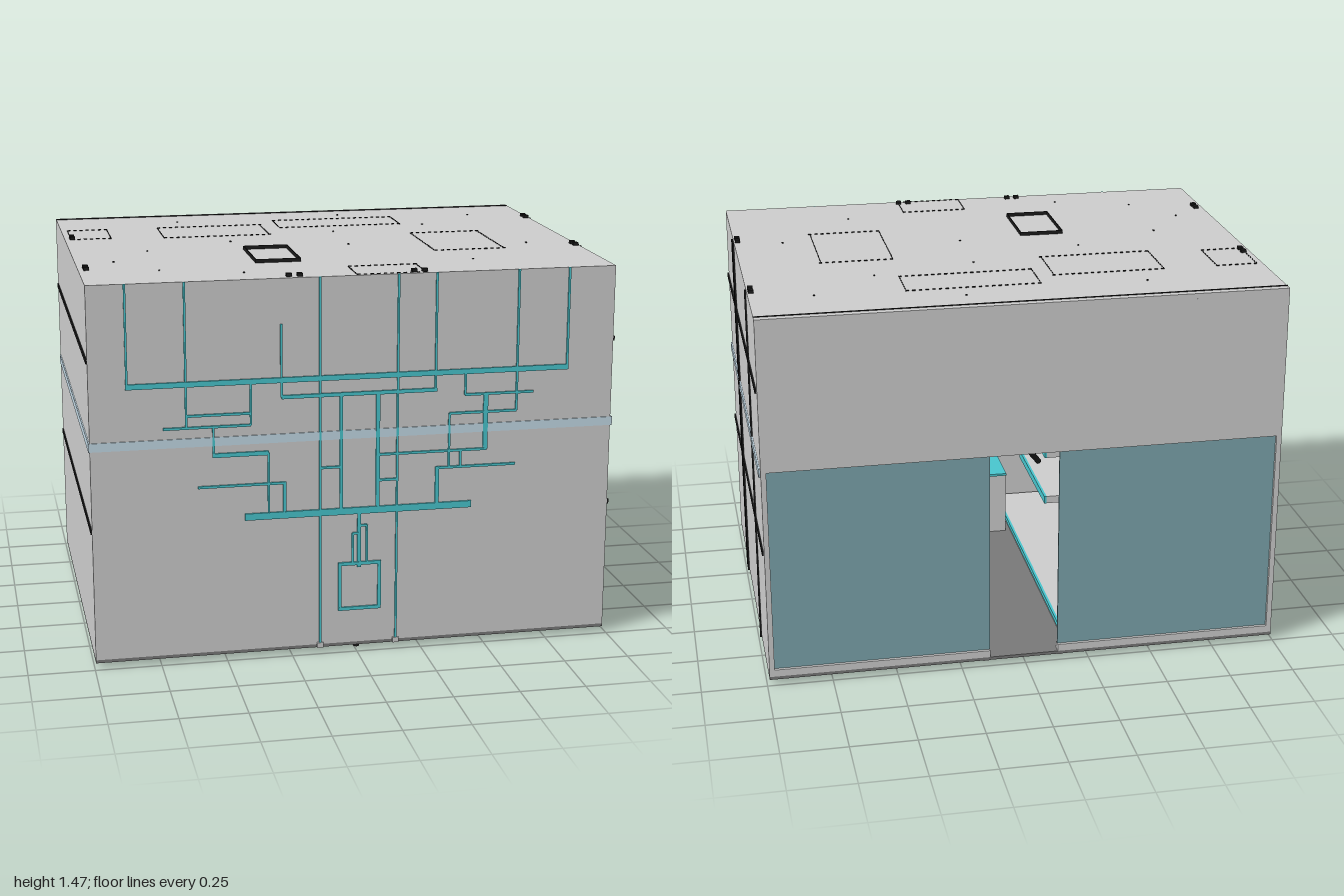
import * as THREE from 'three';
import { mergeGeometries } from 'three/addons/utils/BufferGeometryUtils.js';

const mat = (color) => new THREE.MeshStandardMaterial({ color });
const GREY = mat(0xcccccc), DARK = mat(0x1a1a1a), TEAL = mat(0x48c4cc), GLASS = mat(0x7ba4ac),
  PALE = mat(0xc2d8e4), FLOOR = mat(0x777777);
const X0 = -0.995, X1 = 0.99, Y0 = 0.02, Y1 = 1.46, Z0 = -0.74, Z1 = 0.73;

// box between two corners
function span(x0, x1, y0, y1, z0, z1) {
  return new THREE.BoxGeometry(x1 - x0, y1 - y0, z1 - z0)
    .translate((x0 + x1) / 2, (y0 + y1) / 2, (z0 + z1) / 2);
}

export function createModel() {
  const model = new THREE.Group();
  const add = (name, material, ...geos) => {
    const mesh = new THREE.Mesh(geos.length > 1 ? mergeGeometries(geos) : geos[0], material);
    mesh.name = name;
    model.add(mesh);
    return mesh;
  };

  // shell: floor, roof, walls, open doorway at the back
  const t = 0.02;
  add('floor', FLOOR, span(X0, X1, Y0, Y0 + 0.012, Z0, Z1));
  add('roof', GREY, span(X0, X1, Y1 - t, Y1, Z0, Z1));
  add('frontWall', GREY, span(X0, X1, Y0 + 0.012, Y1 - t, Z1 - t, Z1));
  add('sideWalls', GREY,
    span(X0, X0 + t, Y0 + 0.012, Y1 - t, Z0, Z1 - t), span(X1 - t, X1, Y0 + 0.012, Y1 - t, Z0, Z1 - t));
  add('backWall', GREY, span(X0 + t, X1 - t, 0.87, Y1 - t, Z0, Z0 + 0.03));
  add('backSills', GREY,
    span(X0 + t, -0.13, Y0 + 0.012, 0.06, Z0, Z0 + 0.03), span(0.137, X1 - t, Y0 + 0.012, 0.06, Z0, Z0 + 0.03));
  add('backWindows', GLASS,
    span(X0 + t, -0.13, 0.06, 0.87, Z0 + 0.012, Z0 + 0.02), span(0.137, X1 - t, 0.06, 0.87, Z0 + 0.012, Z0 + 0.02));
  add('floorStrips', GREY, ...[-0.14, 0.155].map((x) => span(x - 0.012, x + 0.012, Y0 - 0.002, Y0, Z0, Z1)));

  // bands along the sides and front
  for (const [name, x0, x1] of [['right', X0 - 0.005, X0], ['left', X1, X1 + 0.006]]) {
    add(name + 'DarkBands', DARK, ...[0.535, 1.18].map((y) => span(x0, x1, y - 0.009, y + 0.009, -0.71, Z1)));
    add(name + 'PaleBand', PALE, span(x0, x1, 0.842, 0.875, -0.71, Z1 + 0.004));
  }
  add('frontPaleBand', PALE, span(X0, X1, 0.842, 0.875, Z1, Z1 + 0.004));
  add('leftCables', DARK, ...[0.3, 0.27, 0.24, -0.38].map((z) => span(X1, X1 + 0.007, Y0, Y1, z - 0.002, z + 0.002)));

  // front line work: rows [y, x0, x1, width] and columns [x, y0, y1, width]
  const rows = [
    [1.08, -0.86, 0.815, 0.02], [0.56, -0.425, 0.445, 0.026], [0.96, -0.64, -0.4], [0.915, -0.725, -0.4],
    [0.805, -0.545, -0.335, 0.016], [0.685, -0.6, -0.275], [1.015, -0.285, 0.305, 0.014], [0.99, 0.415, 0.68],
    [0.92, 0.355, 0.615], [0.775, 0.08, 0.5], [0.71, 0.31, 0.615], [0.735, -0.14, -0.06], [0.675, 0.08, 0.155],
    [0.47, -0.015, 0.01], [0.5, 0.01, 0.04], [0.17, -0.07, 0.095, 0.013], [0.35, -0.07, 0.095, 0.013],
  ];
  const columns = [
    [-0.855, 1.08, Y1], [0.81, 1.08, Y1], [-0.64, 0.915, Y1], [-0.4, 0.915, 1.08], [-0.285, 1.015, 1.29],
    [-0.14, 0.03, Y1], [0.155, 0.03, Y1], [0.3, 1.015, Y1], [0.615, 0.92, Y1], [0.415, 0.99, 1.08],
    [0.355, 0.71, 0.92], [0.4, 0.71, 0.775], [0.495, 0.775, 0.99, 0.018], [0.31, 0.56, 0.715, 0.015],
    [0.08, 0.56, 1.015, 0.015], [-0.06, 0.56, 1.015, 0.012], [-0.54, 0.805, 0.915], [-0.335, 0.56, 0.805],
    [-0.275, 0.56, 0.69, 0.012], [0.01, 0.335, 0.56, 0.014], [-0.015, 0.35, 0.47], [0.04, 0.35, 0.5],
    [-0.064, 0.17, 0.35, 0.013], [0.089, 0.17, 0.35, 0.013],
  ];
  add('frontLineWork', TEAL,
    ...rows.map(([y, a, b, w = 0.009]) => span(a, b, y - w / 2, y + w / 2, Z1, Z1 + 0.007)),
    ...columns.map(([x, a, b, w = 0.008]) => span(x - w / 2, x + w / 2, a, b, Z1, Z1 + 0.006)));
  add('lineEndPlugs', GREY, ...[-0.14, 0.155].map((x) => span(x - 0.012, x + 0.012, 0.02, 0.04, Z1, Z1 + 0.008)));

  // roof hatch: four thin upright fins
  const fin = 0.002;
  const [hx0, hx1, hz0, hz1] = [-0.325, -0.155, 0.13, 0.42];
  add('roofHatch', DARK,
    ...[hx0, hx1].map((x) => span(x - fin, x + fin, Y1, Y1 + 0.014, hz0, hz1)),
    ...[hz0, hz1].map((z) => span(hx0, hx1, Y1, Y1 + 0.014, z - fin, z + fin)));

  // dashed outlines on the roof
  const dashed = (x0, x1, z0, z1) => {
    const out = [], step = 0.025;
    for (let x = x0; x < x1; x += step)
      for (const z of [z0, z1]) out.push(span(x, x + 0.012, Y1, Y1 + 0.004, z - 0.001, z + 0.001));
    for (let z = z0; z < z1; z += step)
      for (const x of [x0, x1]) out.push(span(x - 0.001, x + 0.001, Y1, Y1 + 0.004, z, z + 0.012));
    return out;
  };
  const panels = [[-0.6, -0.17, -0.42, -0.18], [-0.1, 0.41, -0.51, -0.33], [0.4, 0.68, -0.1, 0.3],
    [0, 0.26, 0.56, 0.72], [-0.97, -0.81, -0.42, -0.21]];
  add('roofPanelOutlines', DARK, ...panels.flatMap((p) => dashed(...p)));

  // small studs scattered over the roof
  const studs = [[-0.7, 0.5], [-0.7, 0.1], [-0.35, -0.05], [0.1, 0.1], [0.1, -0.2], [0.5, -0.3], [0.8, 0.2],
    [0.5, 0.5], [-0.5, -0.55], [0.2, -0.6], [-0.85, 0.3], [0.75, -0.5], [-0.4, 0.6]];
  add('roofStuds', DARK, ...studs.map(([x, z]) => span(x - 0.003, x + 0.003, Y1, Y1 + 0.004, z - 0.003, z + 0.003)));

  // clips near the roof and floor edges
  const clips = [[-0.965, 0.42, 0], [-0.965, -0.24, 0], [-0.23, 0.7, 1], [0.24, 0.7, 1], [0.975, -0.4, 0], [0.975, 0.27, 0]];
  const clip = (x, z, along, y, h) => [-0.02, 0.02].map((d) => {
    const cx = x + (along ? d : 0), cz = z + (along ? 0 : d);
    return span(cx - 0.01, cx + 0.01, y, y + h, cz - 0.01, cz + 0.01);
  });
  add('roofClips', DARK, ...clips.flatMap(([x, z, a]) => clip(x, z, a, Y1, 0.012)));
  add('floorClips', DARK, ...clips.flatMap(([x, z, a]) => clip(x, z, a, Y0 - 0.006, 0.006)));
  add('roofBackRidge', DARK, span(X0, X1, Y1, Y1 + 0.003, -0.712, -0.708));
  add('foot', DARK, new THREE.CylinderGeometry(0.012, 0.012, 0.02, 12).translate(0.01, 0.01, 0.69));

  // interior: raised decks beside the aisle, shelves and hanging cables
  for (const s of [-1, 1]) {
    const side = s < 0 ? 'right' : 'left';
    const across = (a, b, ...r) => span(Math.min(s * a, s * b), Math.max(s * a, s * b), ...r);
    add(side + 'Deck', GREY, across(0.17, 0.96, 0.033, 0.08, -0.65, 0.69));
    add(side + 'DeckTrim', TEAL, across(0.16, 0.17, 0.06, 0.08, -0.65, 0.69));
    [0.42, 0.62].forEach((y) => {
      add(side + 'Shelf', GREY, across(0.2, 0.7, y, y + 0.03, -0.2, 0.3));
      add(side + 'ShelfTrim', TEAL, across(0.19, 0.2, y, y + 0.03, -0.2, 0.3));
    });
    add(side + 'ShelfPosts', DARK, ...[-0.15, 0.25].map((z) => across(0.4, 0.44, 0.08, 0.65, z - 0.02, z + 0.02)));
    const curve = new THREE.CatmullRomCurve3([[0.05, 1.44, 0.1], [0.07, 0.95, 0.05], [0.12, 0.65, 0], [0.22, 0.5, 0.05]]
      .map(([x, y, z]) => new THREE.Vector3(s * x, y, z)));
    add(side + 'HangingCable', DARK, new THREE.TubeGeometry(curve, 24, 0.012, 8));
  }
  add('endConsole', GREY, span(-0.15, 0.15, 0.033, 0.3, 0.4, 0.69));
  add('endConsoleTrim', TEAL, span(-0.15, 0.15, 0.3, 0.31, 0.39, 0.69));
  add('centrePosts', DARK, ...[-0.04, 0, 0.04].map((x) =>
    new THREE.CylinderGeometry(0.012, 0.012, 0.8, 10).translate(x, 1.04, 0.15)));
  return model;
}
